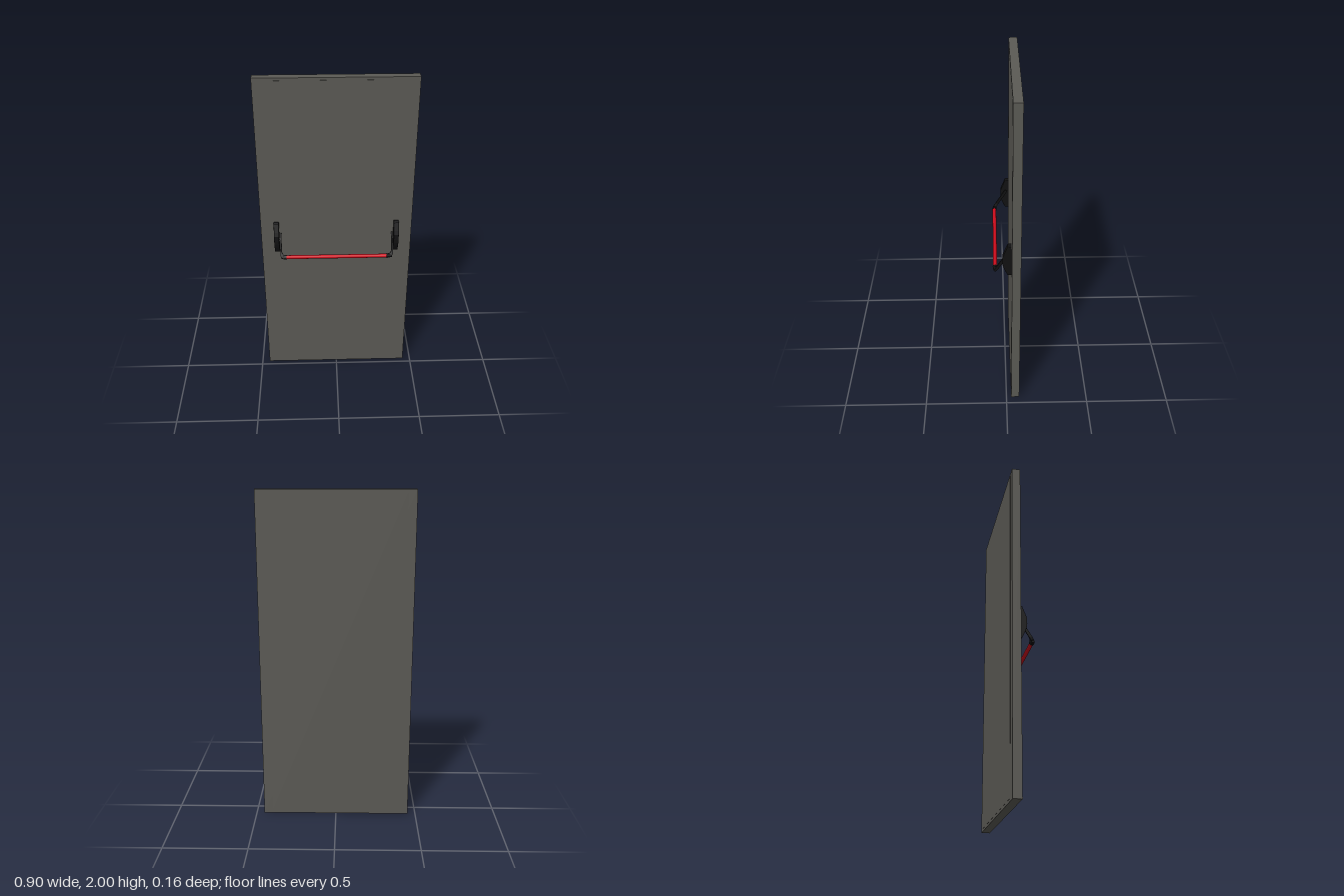
import * as THREE from 'three';

const paint = (color) => new THREE.MeshStandardMaterial({ color });
const doorPaint = paint(0x5b5a55);
const blackPaint = paint(0x111112);
const redPaint = paint(0xcc0c1c);

function add(parent, name, geometry, material, x = 0, y = 0, z = 0) {
  const mesh = new THREE.Mesh(geometry, material);
  mesh.name = name;
  mesh.position.set(x, y, z);
  parent.add(mesh);
  return mesh;
}

// Extruded outline, centred on its thickness
function plate(points, depth, bevel) {
  const shape = new THREE.Shape(points.map(([x, y]) => new THREE.Vector2(x, y)));
  const geometry = new THREE.ExtrudeGeometry(shape, {
    depth: depth - 2 * bevel, bevelEnabled: bevel > 0, bevelSize: bevel,
    bevelThickness: bevel, bevelOffset: -bevel, bevelSegments: 2,
  });
  return geometry.translate(0, 0, -depth / 2 + bevel);
}

const rod = (radius, length) =>
  new THREE.CylinderGeometry(radius, radius, length, 24).rotateZ(Math.PI / 2);

// Side outline of the lock case: [z, y]
const caseOutline = [
  [-0.03, 0.91], [-0.013, 0.91], [-0.006, 0.914], [0.012, 0.955], [0.02, 0.98],
  [0.022, 1.0], [0.021, 1.035], [0.012, 1.06], [-0.006, 1.106], [-0.013, 1.11], [-0.03, 1.11],
];

// Front outline of the lever, measured from the bar's axis: [x, y]
const leverOutline = [
  [0.3, -0.012], [0.318, -0.012], [0.33, -0.004], [0.337, 0.008], [0.338, 0.022],
  [0.338, 0.14], [0.335, 0.145], [0.331, 0.145], [0.329, 0.14],
  [0.329, 0.032], [0.325, 0.022], [0.318, 0.014], [0.3, 0.012],
];

export function createModel() {
  const model = new THREE.Group();
  model.name = 'fireDoor';

  // Door leaf with a thin raised skin on each face
  const door = new THREE.Group();
  door.name = 'door';
  model.add(door);
  add(door, 'doorLeaf', new THREE.BoxGeometry(0.904, 2, 0.05), doorPaint, 0, 1, -0.055);
  for (const z of [-0.08, -0.03]) {
    add(door, z < -0.05 ? 'backSkin' : 'frontSkin',
      new THREE.BoxGeometry(0.8, 1.97, 0.002), doorPaint, 0, 1, z);
  }

  // Push bar hanging on two sloping levers
  const pushBar = new THREE.Group();
  pushBar.name = 'pushBar';
  pushBar.position.set(0, 0.917, 0.062);
  pushBar.rotation.x = -0.55;
  model.add(pushBar);
  add(pushBar, 'bar', rod(0.0115, 0.604), redPaint);

  for (const s of [-1, 1]) {
    const side = s > 0 ? 'left' : 'right';

    // Lock case on the door face
    const caseGeometry = plate(caseOutline, 0.03, 0.002).rotateY(-Math.PI / 2);
    add(model, side + 'LockCase', caseGeometry, blackPaint, s * 0.358, 0, 0);

    // Lever, bar socket and pivot pin
    const outline = leverOutline.map(([x, y]) => [s * x, y]);
    add(pushBar, side + 'Lever', plate(outline, 0.017, 0.001), blackPaint);
    const socket = new THREE.CylinderGeometry(0.009, 0.0145, 0.032, 24).rotateZ(-s * Math.PI / 2);
    add(pushBar, side + 'Socket', socket, blackPaint, s * 0.316, 0, 0);
    add(pushBar, side + 'PivotPin', rod(0.006, 0.016), blackPaint, s * 0.341, 0.11, 0);
  }
  return model;
}
